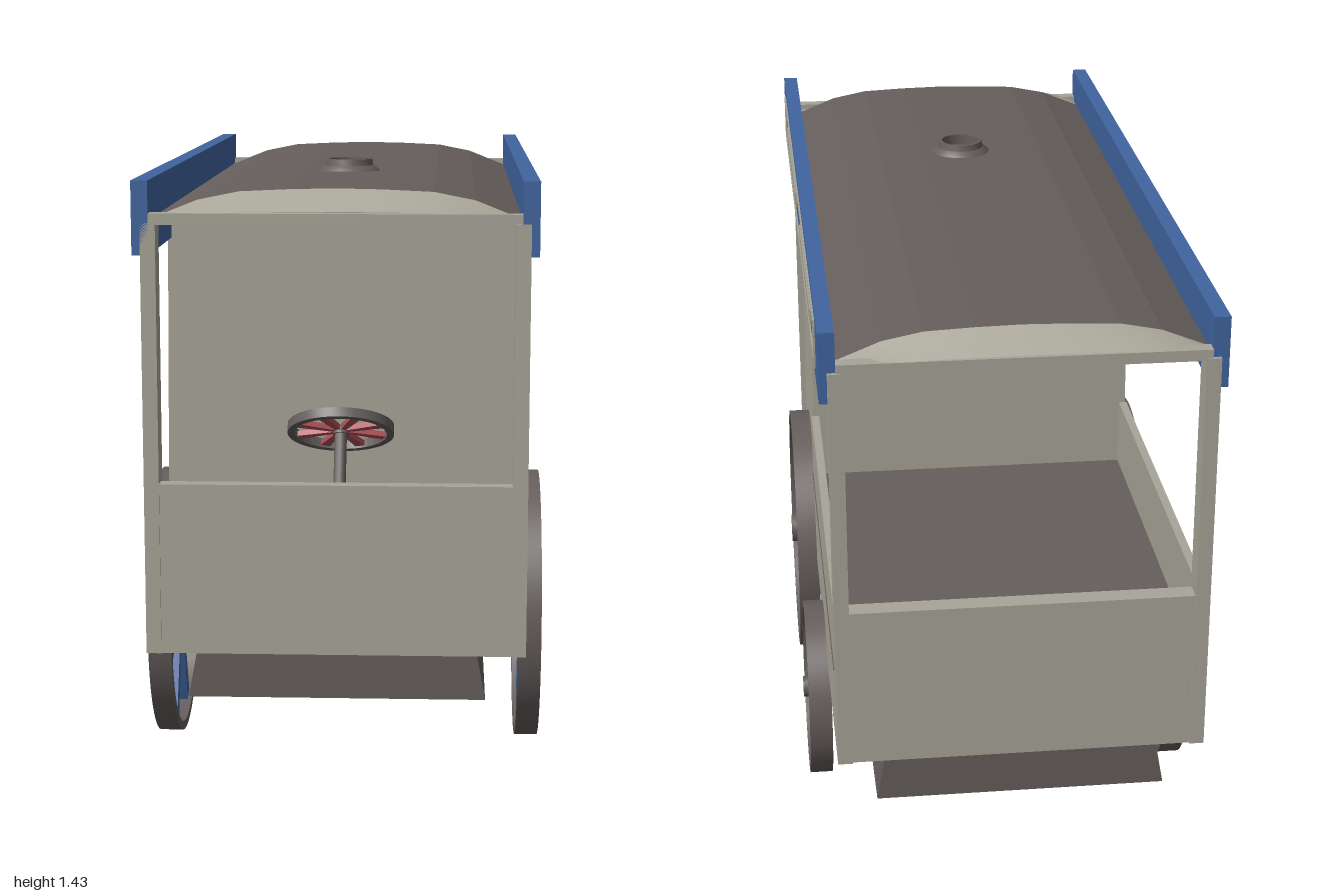
import * as THREE from 'three';
import { toCreasedNormals } from 'three/addons/utils/BufferGeometryUtils.js';

const mat = (name, color, side = THREE.FrontSide) => {
  const m = new THREE.MeshStandardMaterial({ color, side });
  m.name = name;
  return m;
};

export function createModel() {
  const cream = mat('cream paint', 0xa8a698, THREE.DoubleSide);
  const blue = mat('blue paint', 0x41659f);
  const dark = mat('dark iron', 0x655e5c, THREE.DoubleSide);
  const red = mat('red spokes', 0xb0525a);
  const model = new THREE.Group();
  model.name = 'cart';

  const add = (name, geo, material, parent = model) => {
    const m = new THREE.Mesh(geo, material);
    m.name = name;
    parent.add(m);
    return m;
  };
  // box given by its minimum and maximum on each axis
  const box = (name, material, x0, x1, y0, y1, z0, z1, parent = model) => {
    const m = add(name, new THREE.BoxGeometry(x1 - x0, y1 - y0, z1 - z0), material, parent);
    m.position.set((x0 + x1) / 2, (y0 + y1) / 2, (z0 + z1) / 2);
    return m;
  };

  // roof arch, running from -x to +x
  const half = [[0.4, 1.345], [0.3, 1.385], [0.21, 1.403], [0.1, 1.408]];
  const arch = [...half.map(([x, y]) => [-x, y]), [0, 1.41], ...half.slice().reverse()];
  const extrudeZ = (pts, z0, z1) => {
    const shape = new THREE.Shape(pts.map(([x, y]) => new THREE.Vector2(x, y)));
    const g = new THREE.ExtrudeGeometry(shape, { depth: z1 - z0, bevelEnabled: false });
    g.translate(0, 0, z0);
    return g;
  };

  // chassis, slightly narrower at the top
  add('chassis', extrudeZ([[-0.33, 0.28], [0.33, 0.28], [0.31, 0.39], [-0.31, 0.39]], -0.98, 0.96), dark);
  box('bodyFloor', cream, -0.41, 0.41, 0.388, 0.402, -0.99, 0.99);
  box('footboard', dark, -0.33, 0.33, 0.4, 0.46, 0.59, 0.94);
  box('rearFloor', dark, -0.4, 0.4, 0.585, 0.602, -0.95, 0.09);

  // closed cabin with an arched top
  const cabinTop = arch.slice().reverse().map(([x, y]) => [x * 1.02, y - 0.014]);
  add('cabin', extrudeZ([[-0.418, 0.39], [0.418, 0.39], ...cabinTop], 0.09, 0.59), cream);

  // low walls
  box('frontWall', cream, -0.39, 0.39, 0.39, 0.77, 0.96, 0.995);
  box('rearWall', cream, -0.39, 0.39, 0.39, 0.77, -0.995, -0.95);

  for (const s of [-1, 1]) {
    const side = (name, material, a, b, ...rest) =>
      box(name, material, Math.min(a * s, b * s), Math.max(a * s, b * s), ...rest);
    side('sideWall', cream, 0.398, 0.418, 0.39, 0.77, -0.96, 0.09);
    side('sideSeam', dark, 0.41, 0.42, 0.6, 0.605, -0.94, 0.09);
    side('frontPost', cream, 0.385, 0.418, 0.39, 1.34, 0.94, 1);
    side('rearPost', cream, 0.385, 0.418, 0.39, 1.34, -1, -0.945);

    // sign board with a painted frame and two bars
    side('signBoard', blue, 0.4, 0.436, 1.27, 1.43, -0.99, 1);
    for (const y of [1.302, 1.402]) side('signFrame', cream, 0.436, 0.44, y, y + 0.01, -0.87, 0.87);
    for (const z of [-0.87, 0.835]) side('signFrameEnd', cream, 0.436, 0.44, 1.302, 1.412, z, z + 0.035);
    for (const z of [-0.705, 0.12]) side('signBar', cream, 0.436, 0.44, 1.335, 1.372, z, z + 0.58);
  }

  // arched roof sheet
  const under = arch.slice().reverse().map(([x, y]) => [x, y - 0.012]);
  add('roof', extrudeZ([...arch, ...under], -0.935, 0.935), dark);

  // sloping roof ends and their beams
  for (const s of [-1, 1]) {
    const pos = [], index = [];
    arch.forEach(([x, y], i) => {
      pos.push(x, y, 0.935 * s, x, 1.345 + (y - 1.345) * 0.3, 0.998 * s);
      if (i) {
        const k = 2 * i;
        if (s > 0) index.push(k - 2, k - 1, k, k, k - 1, k + 1);
        else index.push(k - 2, k, k - 1, k, k + 1, k - 1);
      }
    });
    const g = new THREE.BufferGeometry();
    g.setAttribute('position', new THREE.Float32BufferAttribute(pos, 3));
    g.setIndex(index);
    g.computeVertexNormals();
    add('roofEnd', g, cream);
    box('roofBeam', cream, -0.4, 0.4, 1.335, 1.36, s > 0 ? 0.965 : -0.998, s > 0 ? 0.998 : -0.965);
  }

  // open chimney collar
  const collar = [[0.078, 1.4], [0.072, 1.412], [0.058, 1.422], [0.055, 1.437], [0.048, 1.437], [0.048, 1.405]]
    .map(([x, y]) => new THREE.Vector2(x, y));
  add('chimneyCollar', toCreasedNormals(new THREE.LatheGeometry(collar, 24), 0.6), dark).position.z = 0.32;

  // spoked wheel lying in the xy plane, centred on the origin
  const spokedWheel = (name, r, rim, width, hubR, hubLen, spokes, spokeMat, w0, w1, depth) => {
    const wheel = new THREE.Group();
    wheel.name = name;
    const ring = new THREE.Shape().absarc(0, 0, r, 0, Math.PI * 2);
    ring.holes.push(new THREE.Path().absarc(0, 0, r - rim, 0, Math.PI * 2, true));
    const rg = new THREE.ExtrudeGeometry(ring, { depth: width, bevelEnabled: false, curveSegments: 36 });
    rg.translate(0, 0, -width / 2);
    add(name + 'Rim', toCreasedNormals(rg, 0.6), dark, wheel);
    add(name + 'Hub', new THREE.CylinderGeometry(hubR, hubR, hubLen, 20), dark, wheel).rotation.x = Math.PI / 2;
    // spokes widen towards the rim
    const len = r - rim / 2 - hubR * 0.8;
    const sg = new THREE.BoxGeometry(1, len, depth);
    const p = sg.attributes.position;
    for (let i = 0; i < p.count; i++) p.setX(i, p.getX(i) * (p.getY(i) > 0 ? w1 : w0));
    sg.translate(0, hubR * 0.8 + len / 2, 0);
    sg.computeVertexNormals();
    for (let i = 0; i < spokes; i++) {
      add(name + 'Spoke', sg, spokeMat, wheel).rotation.z = ((i + 0.5) / spokes) * Math.PI * 2;
    }
    return wheel;
  };

  // road wheels and axles
  for (const [name, r, rim, hub, y, z, axleR, w] of [
    ['frontWheel', 0.31, 0.02, 0.036, 0.336, 0.31, 0.038, 0.042],
    ['rearWheel', 0.206, 0.014, 0.025, 0.235, -0.385, 0.025, 0.028],
  ]) {
    for (const s of [-1, 1]) {
      const wheel = spokedWheel(name, r, rim, 0.055, hub, 0.07, 8, blue, w * 0.35, w, 0.035);
      wheel.rotation.y = Math.PI / 2;
      wheel.scale.y = 1.065;
      wheel.position.set(0.44 * s, y, z);
      model.add(wheel);
    }
    const axle = add(name + 'Axle', new THREE.CylinderGeometry(axleR, axleR, 0.92, 20), dark);
    axle.rotation.z = Math.PI / 2;
    axle.position.set(0, y, z);
  }

  // steering column and wheel
  const foot = new THREE.Vector3(0, 0.49, 0.955), top = new THREE.Vector3(0, 0.85, 0.752);
  const dir = top.clone().sub(foot);
  const column = add('steeringColumn', new THREE.CylinderGeometry(0.014, 0.014, dir.length(), 12), dark);
  column.position.copy(foot).add(top).multiplyScalar(0.5);
  column.quaternion.setFromUnitVectors(new THREE.Vector3(0, 1, 0), dir.clone().normalize());
  const steer = spokedWheel('steeringWheel', 0.121, 0.016, 0.022, 0.018, 0.024, 8, red, 0.012, 0.024, 0.012);
  steer.position.copy(top);
  steer.quaternion.setFromUnitVectors(new THREE.Vector3(0, 0, 1), dir.normalize());
  model.add(steer);

  // rest the wheels on the ground
  model.updateMatrixWorld(true);
  const low = new THREE.Box3().setFromObject(model).min.y;
  model.children.forEach((c) => { c.position.y -= low; });
  return model;
}
